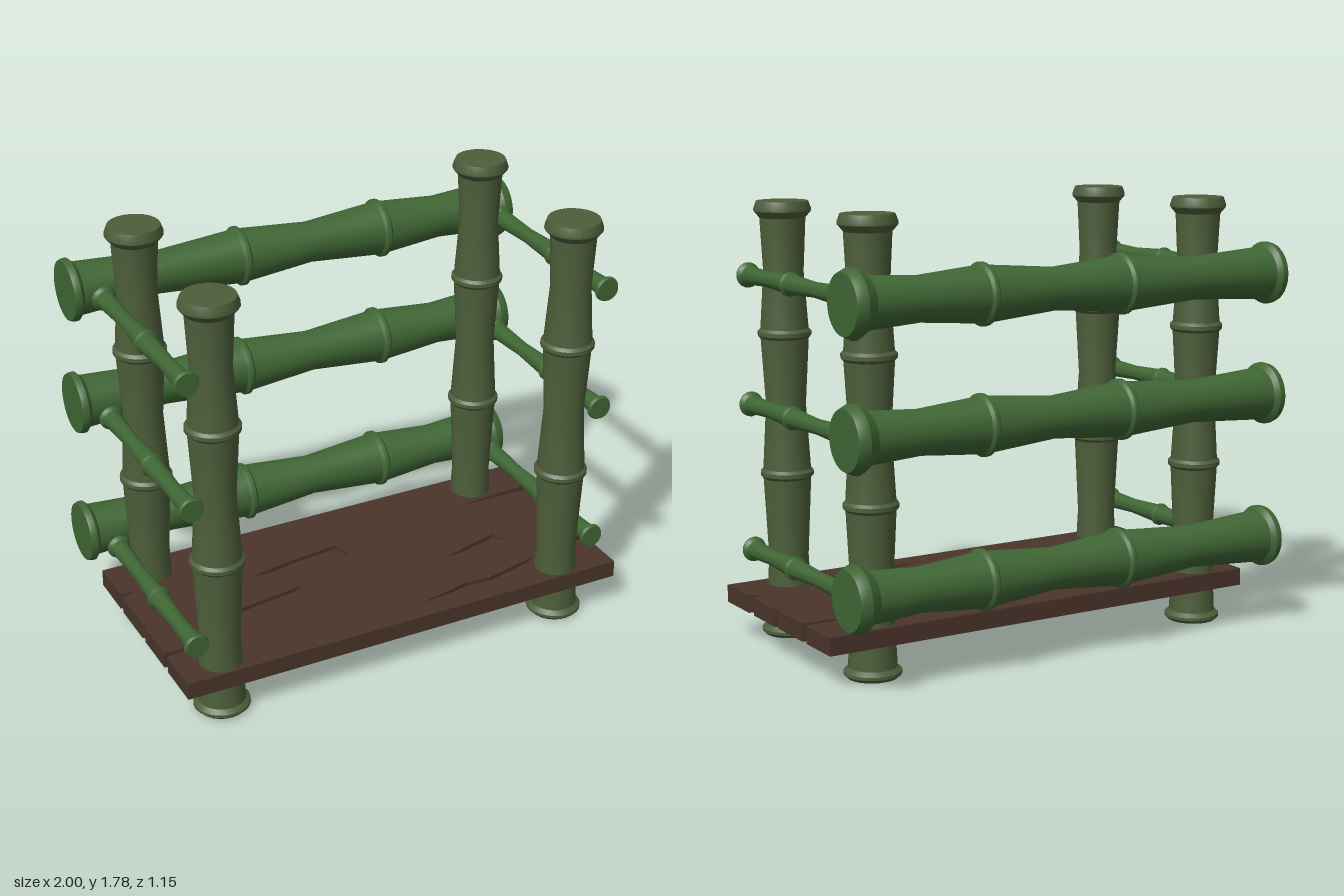
import * as THREE from 'three';
import { toCreasedNormals, mergeGeometries } from 'three/addons/utils/BufferGeometryUtils.js';

const postMaterial = new THREE.MeshStandardMaterial({ color: 0x4d5e3a });
const railMaterial = new THREE.MeshStandardMaterial({ color: 0x3f6634 });
const woodMaterial = new THREE.MeshStandardMaterial({ color: 0x4a352a });

// Closed bamboo cane turned around y from [radius, position] pairs
function cane(profile, sides) {
  const first = profile[0][1];
  const last = profile[profile.length - 1][1];
  const points = [[0, first], ...profile, [0, last]].map(([r, y]) => new THREE.Vector2(r, y));
  return toCreasedNormals(new THREE.LatheGeometry(points, sides), 0.5);
}

// Raised ring around a cane joint
const joint = (y, inner, outer, half) => [
  [inner, y - half], [outer, y - half * 0.4], [outer, y + half * 0.4], [inner, y + half],
];

function add(parent, name, geometry, material, x, y, z) {
  const mesh = new THREE.Mesh(geometry, material);
  mesh.name = name;
  mesh.position.set(x, y, z);
  parent.add(mesh);
}

// Flat slab lying in x/z, from outline and holes given as [x, z]
function slab(outline, holes, y, height) {
  const toPoints = (list) => list.map(([x, z]) => new THREE.Vector2(x, -z));
  const shape = new THREE.Shape(toPoints(outline));
  shape.holes = holes.map((h) => new THREE.Path(toPoints(h)));
  const geometry = new THREE.ExtrudeGeometry(shape, { depth: height, bevelEnabled: false });
  return geometry.rotateX(-Math.PI / 2).translate(0, y, 0);
}

export function createModel() {
  const model = new THREE.Group();
  model.name = 'bambooShelter';

  // Four upright posts
  const postGeometry = cane([
    [0.1, 0], [0.114, 0.014], [0.114, 0.026], [0.096, 0.042],
    [0.081, 0.33],
    ...joint(0.675, 0.097, 0.108, 0.02),
    [0.081, 0.96],
    ...joint(1.25, 0.097, 0.108, 0.02),
    [0.081, 1.5],
    [0.092, 1.715], [0.115, 1.742], [0.115, 1.752], [0.104, 1.782],
  ], 24);
  for (const [side, x] of [['Right', -0.77], ['Left', 0.765]]) {
    add(model, `front${side}Post`, postGeometry, postMaterial, x, 0, 0.455);
    add(model, `back${side}Post`, postGeometry, postMaterial, x, 0, -0.26);
  }

  // Thick rails across the back
  const backRailGeometry = cane([
    [0.122, -1], [0.127, -0.985], [0.127, -0.972], [0.108, -0.955],
    [0.086, -0.61],
    ...joint(-0.255, 0.11, 0.122, 0.018),
    [0.084, 0.06],
    ...joint(0.383, 0.11, 0.122, 0.018),
    [0.088, 0.66],
    [0.102, 0.88], [0.134, 0.93], [0.134, 0.938], [0.118, 0.973],
  ], 32).rotateZ(-Math.PI / 2);
  [0.37, 0.975, 1.475].forEach((y, i) =>
    add(model, `backRail${i + 1}`, backRailGeometry, railMaterial, 0, y, -0.445));

  // Thin rails along both sides
  const sideRailGeometry = cane([
    [0.045, -0.298], [0.05, -0.29], [0.05, -0.284], [0.038, -0.272],
    [0.03, -0.07],
    ...joint(0.14, 0.04, 0.048, 0.009),
    [0.031, 0.34],
    [0.038, 0.5], [0.051, 0.515], [0.051, 0.522], [0.046, 0.532],
  ], 20).rotateX(Math.PI / 2);
  [0.355, 0.96, 1.485].forEach((y, i) => {
    add(model, `rightSideRail${i + 1}`, sideRailGeometry, railMaterial, -0.895, y, 0);
    add(model, `leftSideRail${i + 1}`, sideRailGeometry, railMaterial, 0.89, y, 0);
  });

  // Plank floor, split at both ends between the boards
  const outline = [
    [-0.95, 0.55], [1, 0.55],
    [1, 0.35], [0.93, 0.325], [1, 0.3],
    [1, 0.11], [0.95, 0.1], [1, 0.08],
    [1, -0.13], [0.64, -0.14], [0.8, -0.155], [1, -0.165],
    [1, -0.36], [-0.95, -0.36],
    [-0.95, -0.16], [-0.88, -0.145], [-0.95, -0.13],
    [-0.95, 0.08], [-0.93, 0.095], [-0.95, 0.11],
    [-0.95, 0.31], [-0.81, 0.325], [-0.95, 0.345],
  ];
  // Shallow cracks carved into the upper face
  const cracks = [
    [[-0.42, -0.03], [-0.22, -0.07], [0.01, -0.095], [0.03, 0.01], [-0.12, -0.01]],
    [[-0.69, 0.19], [-0.46, 0.15], [-0.24, 0.12], [-0.42, 0.2], [-0.61, 0.28], [-0.58, 0.21]],
    [[0.39, 0.2], [0.53, 0.16], [0.65, 0.13], [0.68, 0.19], [0.54, 0.19]],
    [[0.13, 0.46], [0.36, 0.41], [0.47, 0.42], [0.72, 0.36], [0.62, 0.43], [0.4, 0.46], [0.3, 0.45]],
  ];
  const floorGeometry = mergeGeometries([
    slab(outline, [], 0.14, 0.055),
    slab(outline, cracks, 0.195, 0.017),
  ]);
  add(model, 'plankFloor', floorGeometry, woodMaterial, 0, 0, 0);

  return model;
}
